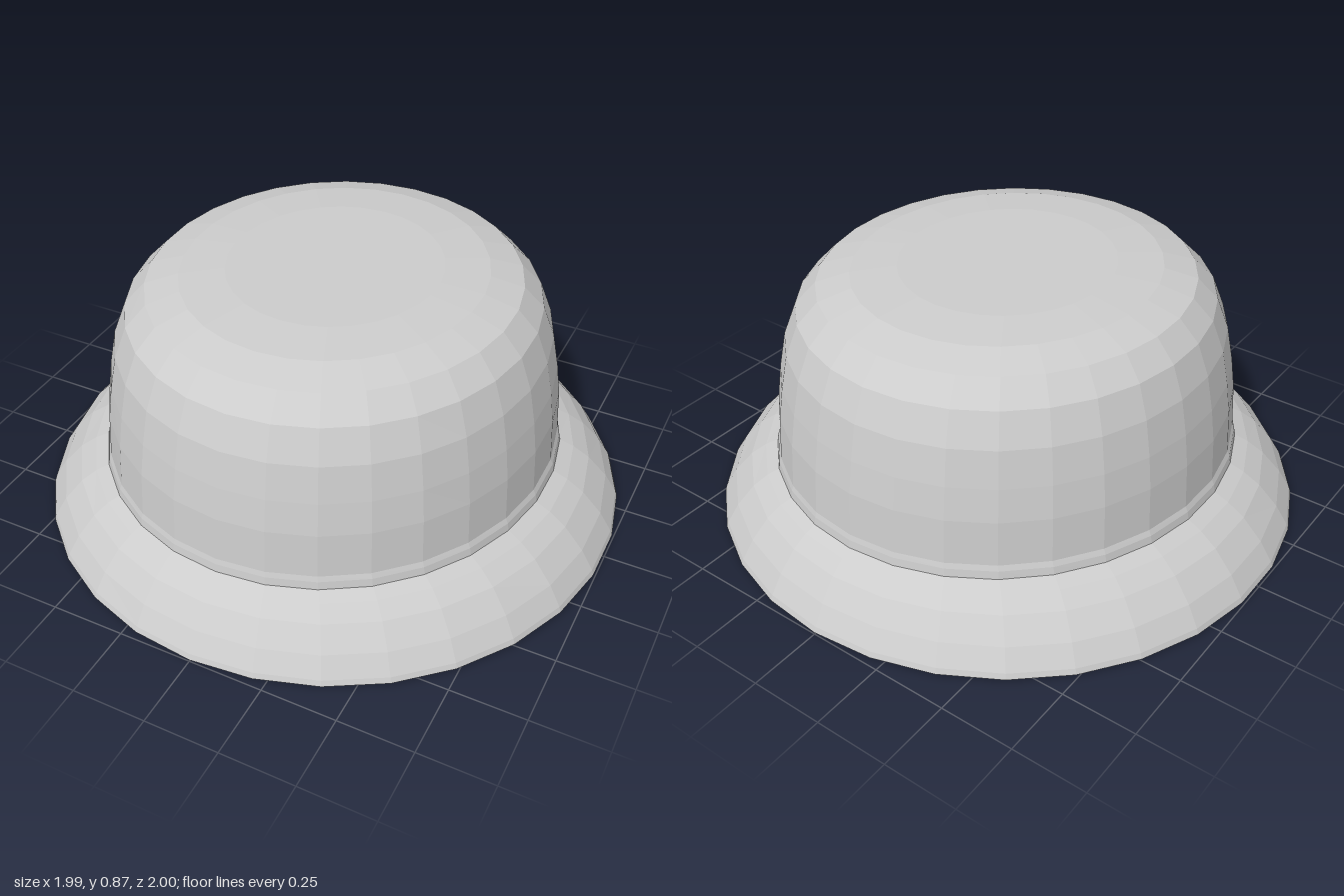
import * as THREE from 'three';

const SEGMENTS = 30;

// Lathe a closed profile of [x radius, y, z radius], so that rings may be oval
function ovalLathe(profile) {
  const closed = [...profile, profile[0]];
  const geometry = new THREE.LatheGeometry(
    closed.map(([rx, y]) => new THREE.Vector2(rx, y)), SEGMENTS);
  const pos = geometry.attributes.position;
  for (let i = 0; i < pos.count; i++) {
    const [rx, , rz] = closed[i % closed.length];
    if (rx > 0) pos.setZ(i, pos.getZ(i) * rz / rx);
  }
  // Separate faces for the faceted look
  const flat = geometry.toNonIndexed();
  flat.computeVertexNormals();
  return flat;
}

export function createModel() {
  const hat = new THREE.Group();
  hat.name = 'hat';
  const felt = new THREE.MeshStandardMaterial({ color: 0xcccccc });
  felt.name = 'light grey felt';

  // Crown: outside going up to the middle, then inside coming down
  const crown = new THREE.Mesh(ovalLathe([
    [0.777, 0.215, 0.822],
    [0.77, 0.25, 0.817],
    [0.761, 0.268, 0.812],
    [0.752, 0.42, 0.80],
    [0.737, 0.53, 0.782],
    [0.713, 0.65, 0.757],
    [0.672, 0.757, 0.712],
    [0.605, 0.828, 0.64],
    [0.495, 0.86, 0.53],
    [0.35, 0.872, 0.37],
    [0, 0.874, 0],
    [0, 0.854, 0],
    [0.48, 0.84, 0.515],
    [0.59, 0.808, 0.625],
    [0.652, 0.745, 0.692],
    [0.693, 0.645, 0.737],
    [0.717, 0.53, 0.762],
    [0.732, 0.42, 0.78],
    [0.74, 0.27, 0.79],
    [0.74, 0.215, 0.785],
  ]), felt);
  crown.name = 'crown';
  hat.add(crown);

  // Brim: round at the rim, oval where it meets the crown
  const brim = new THREE.Mesh(ovalLathe([
    [0.99, 0, 0.99],
    [1, 0.006, 1],
    [0.993, 0.025, 0.993],
    [0.95, 0.092, 0.955],
    [0.883, 0.163, 0.90],
    [0.825, 0.202, 0.855],
    [0.77, 0.226, 0.815],
    [0.74, 0.228, 0.785],
    [0.74, 0.205, 0.785],
    [0.815, 0.182, 0.843],
    [0.87, 0.147, 0.886],
    [0.935, 0.08, 0.94],
    [0.976, 0.02, 0.976],
  ]), felt);
  brim.name = 'brim';
  hat.add(brim);

  return hat;
}
